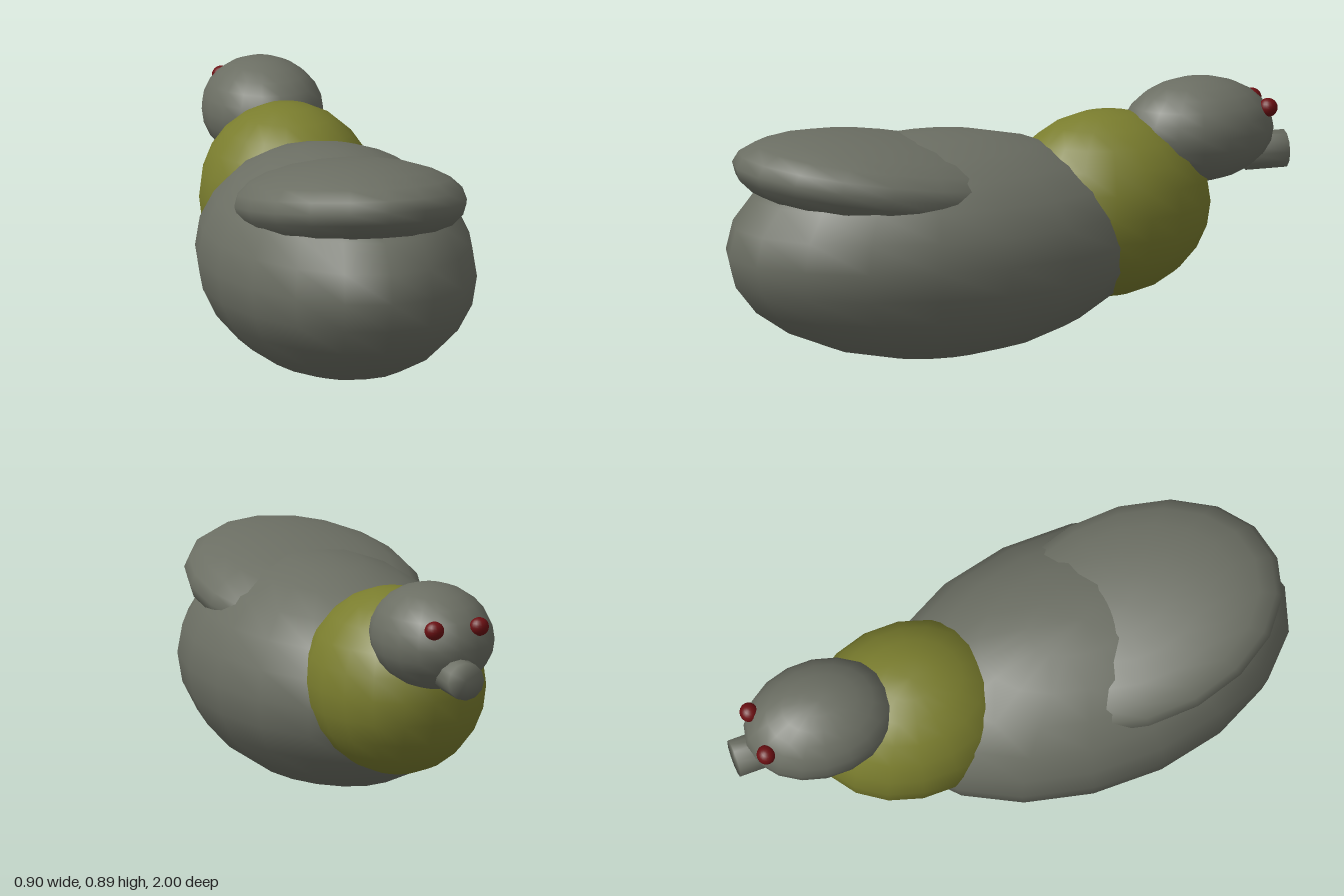
import * as THREE from 'three';
import { mergeVertices } from 'three/addons/utils/BufferGeometryUtils.js';

function makeMaterial(name, color) {
  const m = new THREE.MeshStandardMaterial({ color });
  m.name = name;
  return m;
}

export function createModel() {
  const grey = makeMaterial('featherGrey', 0x6b6e63);
  const olive = makeMaterial('neckOlive', 0x7a7d2e);
  const red = makeMaterial('eyeRed', 0x6a0f12);

  const bird = new THREE.Group();
  bird.name = 'bird';

  // Ellipsoid with 18 sides, a corner facing straight along z
  const ball = new THREE.SphereGeometry(1, 18, 12).rotateY(Math.PI / 2);
  function ellipsoid(name, material, position, radii, pitch = 0) {
    const mesh = new THREE.Mesh(ball, material);
    mesh.name = name;
    mesh.position.set(...position);
    mesh.scale.set(...radii);
    mesh.rotation.x = pitch;
    bird.add(mesh);
  }

  ellipsoid('body', grey, [0, 0.391, 0.262], [0.457, 0.388, 0.735]);
  ellipsoid('neck', olive, [0, 0.485, -0.36], [0.3, 0.32, 0.362]);
  ellipsoid('head', grey, [0, 0.717, -0.69], [0.204, 0.179, 0.265]);

  // Folded wings: one flattened shell, tipped up towards the tail
  ellipsoid('foldedWings', grey, [0, 0.63, 0.45], [0.39, 0.155, 0.525], -0.14);

  // Eyes
  for (const side of [1, -1]) {
    ellipsoid(side > 0 ? 'leftEye' : 'rightEye', red, [0.082 * side, 0.79, -0.915], [0.034, 0.032, 0.032]);
  }

  // Beak: short stub with softly shaded rims
  let stub = new THREE.CylinderGeometry(0.066, 0.066, 0.138, 12).rotateX(Math.PI / 2);
  stub.deleteAttribute('normal');
  stub.deleteAttribute('uv');
  stub = mergeVertices(stub);
  stub.computeVertexNormals();
  const beak = new THREE.Mesh(stub, grey);
  beak.name = 'beak';
  beak.position.set(0, 0.624, -0.931);
  bird.add(beak);

  return bird;
}
